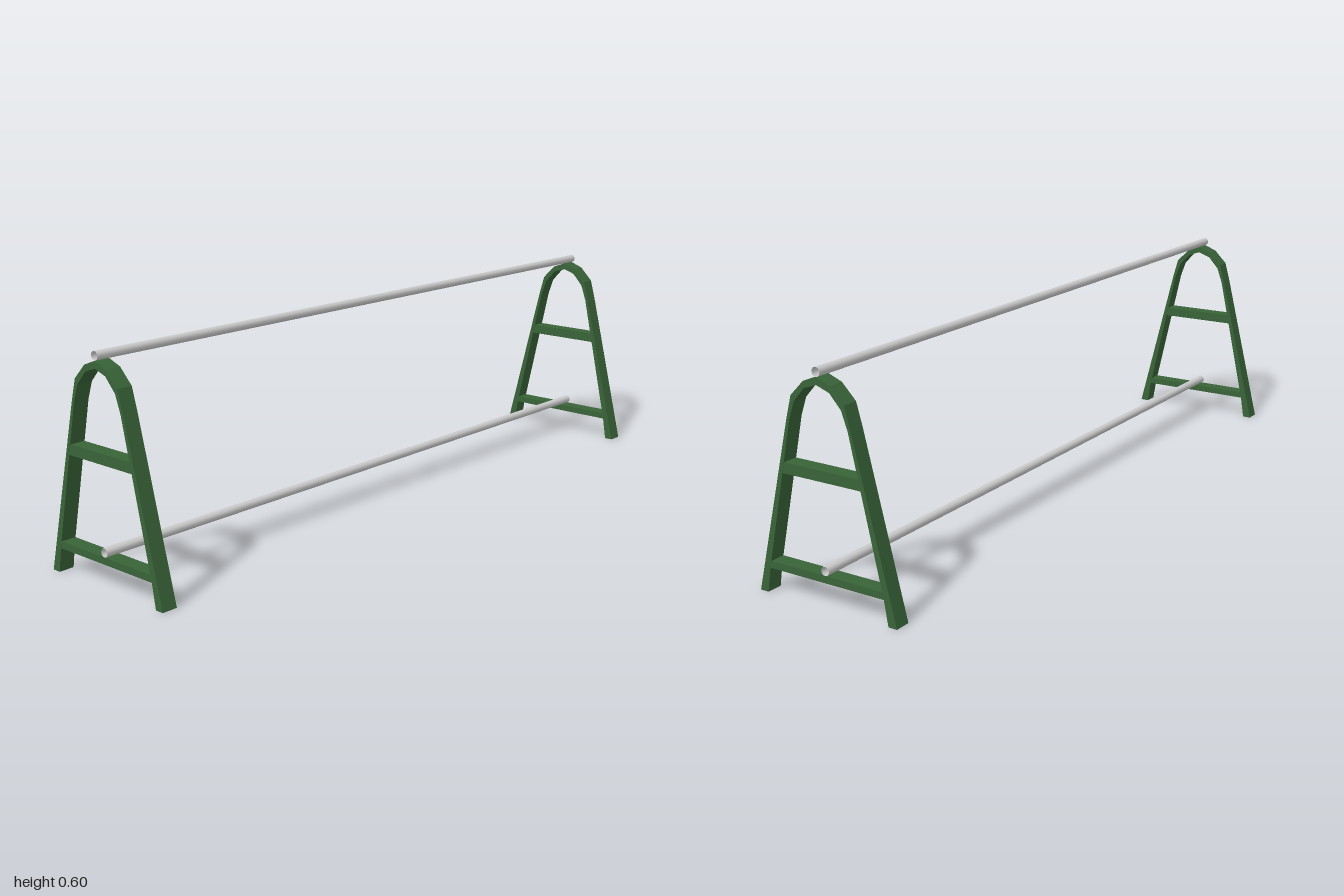
import * as THREE from 'three';

const FRAME_WIDTH = 0.043;

// Half outlines of the arched end frame as [z, y], from foot to crown
const OUTER = [[0.212, 0], [0.097, 0.46], [0.08, 0.52], [0.04, 0.56], [0, 0.575]];
const INNER = [[0.187, 0], [0.176, 0.066], [0.088, 0.46], [0.071, 0.507], [0.038, 0.543], [0, 0.556]];

// Completes a half outline with its mirror image: foot, crown, opposite foot
function mirrored(half) {
  return [...half, ...half.slice(0, -1).reverse().map(([z, y]) => [-z, y])];
}

export function createModel() {
  const model = new THREE.Group();
  model.name = 'barrierRack';

  const green = new THREE.MeshStandardMaterial({ color: 0x386338, flatShading: true });
  const metal = new THREE.MeshStandardMaterial({ color: 0xcccccc, side: THREE.DoubleSide });

  // Bent A-shaped leg, extruded along x
  const points = [...mirrored(OUTER), ...mirrored(INNER).reverse()];
  const archShape = new THREE.Shape(points.map(([z, y]) => new THREE.Vector2(z, y)));
  const archGeometry = new THREE.ExtrudeGeometry(archShape, { depth: FRAME_WIDTH, bevelEnabled: false });
  archGeometry.translate(0, 0, -FRAME_WIDTH / 2);
  archGeometry.rotateY(Math.PI / 2);

  // Cross bars stop inside the legs
  const crossbars = [
    { name: 'lowerCrossbar', y: 0.0755, height: 0.019, length: 0.36 },
    { name: 'upperCrossbar', y: 0.3355, height: 0.028, length: 0.242 },
  ];

  for (const side of [-1, 1]) {
    const frame = new THREE.Group();
    frame.name = side > 0 ? 'leftEndFrame' : 'rightEndFrame';
    frame.position.x = side * (1 - FRAME_WIDTH / 2);

    const arch = new THREE.Mesh(archGeometry, green);
    arch.name = 'archedLegs';
    frame.add(arch);

    for (const { name, y, height, length } of crossbars) {
      const bar = new THREE.Mesh(new THREE.BoxGeometry(FRAME_WIDTH - 0.001, height, length), green);
      bar.name = name;
      bar.position.y = y;
      frame.add(bar);
    }
    model.add(frame);
  }

  // Long open tubes resting on the crowns and on the lower cross bars
  const railGeometry = new THREE.CylinderGeometry(0.012, 0.012, 2, 12, 1, true);
  railGeometry.rotateZ(Math.PI / 2);
  for (const [name, y] of [['topRail', 0.587], ['bottomRail', 0.097]]) {
    const rail = new THREE.Mesh(railGeometry, metal);
    rail.name = name;
    rail.position.y = y;
    model.add(rail);
  }

  return model;
}
